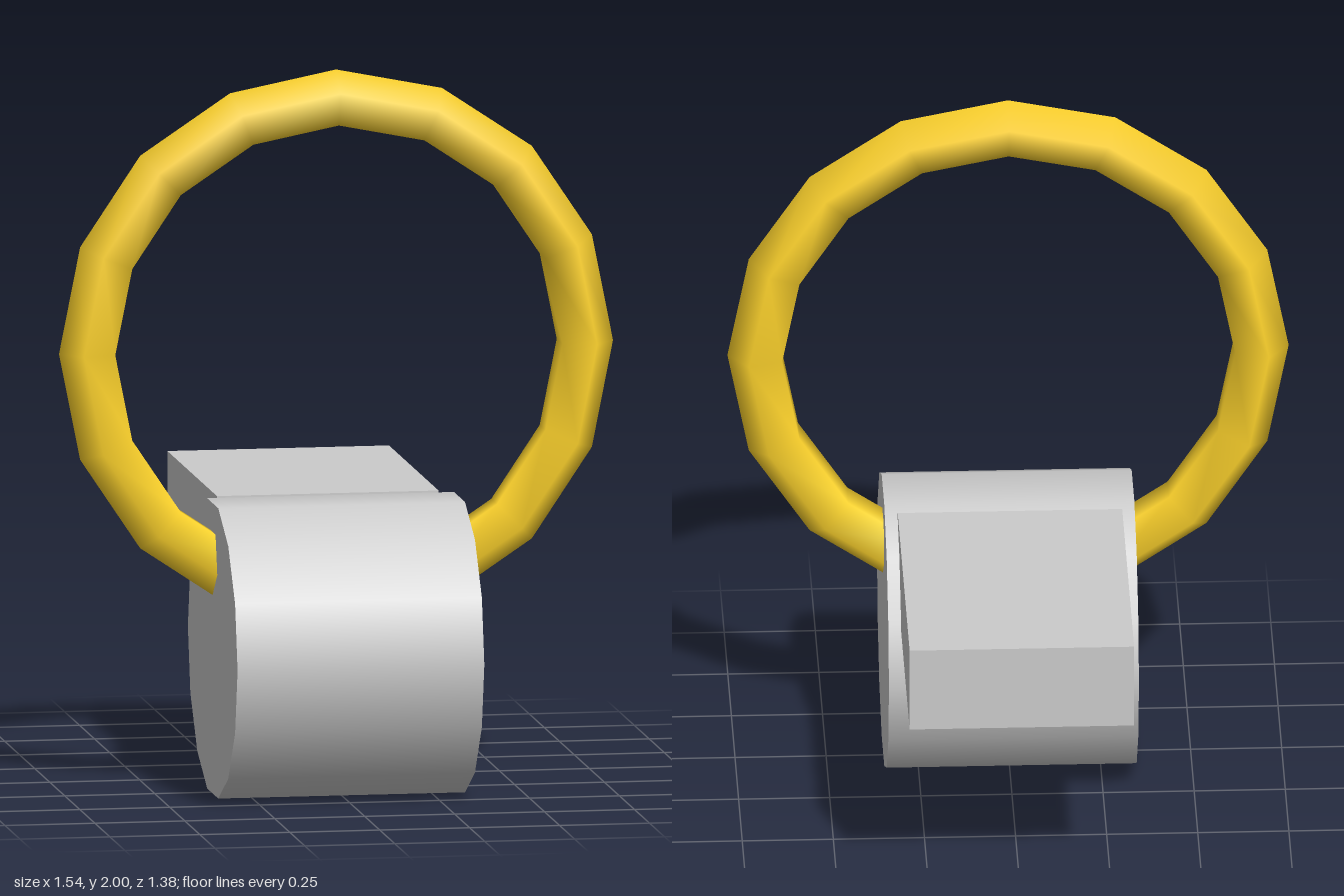
import * as THREE from 'three';

export function createModel() {
  const model = new THREE.Group();
  const grey = new THREE.MeshStandardMaterial({ color: 0xcccccc });
  const gold = new THREE.MeshStandardMaterial({ color: 0xffd42c });

  const add = (name, geometry, material, x, y, z) => {
    const mesh = new THREE.Mesh(geometry, material);
    mesh.name = name;
    mesh.position.set(x, y, z);
    model.add(mesh);
    return mesh;
  };

  // Fourteen-sided barrel lying along x
  const barrel = new THREE.CylinderGeometry(0.413, 0.413, 0.686, 14).rotateZ(Math.PI / 2);
  add('barrel', barrel, grey, 0, 0.403, 0.275);

  // Flat plate reaching back from the top of the barrel
  add('backPlate', new THREE.BoxGeometry(0.616, 0.243, 0.825), grey, 0, 0.682, -0.276);

  // Upright ring through the barrel, with a five-sided section
  add('ring', new THREE.TorusGeometry(0.688, 0.082, 5, 16), gold, 0, 1.23, 0.273);

  return model;
}
